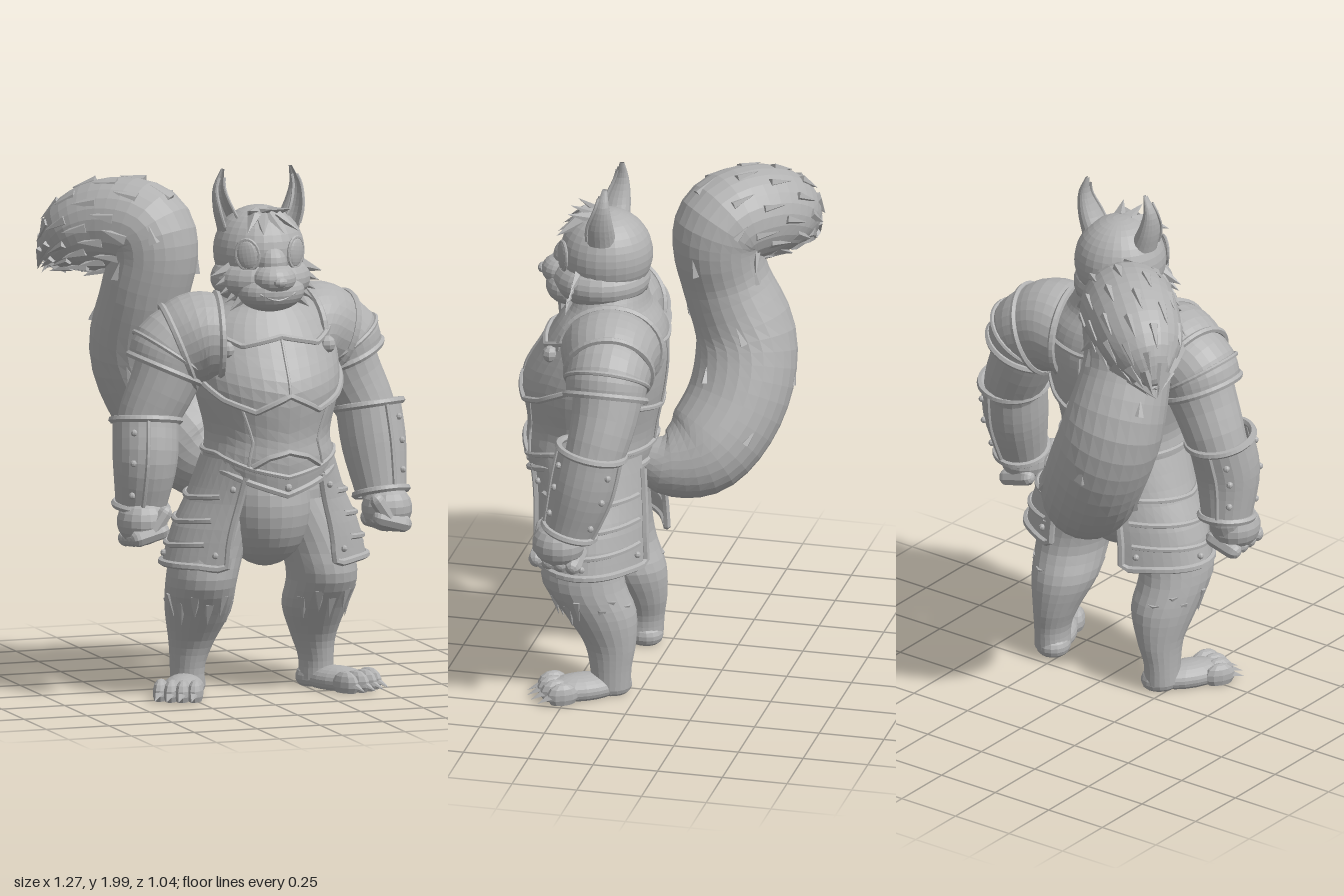
import * as THREE from 'three';
import { ParametricGeometry } from 'three/addons/geometries/ParametricGeometry.js';

const V = (x, y, z) => new THREE.Vector3(x, y, z);
const RAD = Math.PI / 180, CX = 0.045;
const grey = new THREE.MeshStandardMaterial({ color: 0xb2b2b2, side: THREE.DoubleSide });
grey.name = 'stone grey';

// faceted mesh added to a parent
function add(parent, name, geo) {
  const g = geo.index ? geo.toNonIndexed() : geo;
  g.computeVertexNormals();
  const m = new THREE.Mesh(g, grey);
  m.name = name;
  parent.add(m);
  return m;
}
function group(parent, name) {
  const g = new THREE.Group();
  g.name = name;
  parent.add(g);
  return g;
}

// skin over elliptical sections [x, y, z, a, b]; without ref the sections lie flat
function loft(secs, ref) {
  const P = new THREE.CatmullRomCurve3(secs.map(q => V(q[0], q[1], q[2])), false, 'catmullrom');
  const R = new THREE.CatmullRomCurve3(secs.map(q => V(q[3], q[4] ?? q[3], 0)), false, 'catmullrom');
  const L = {};
  L.point = (t, th, out = 0) => {
    const c = P.getPoint(t), r = R.getPoint(t);
    let N = V(0, 0, 1), B = V(1, 0, 0);
    if (ref) {
      const T = P.getTangent(t);
      N = ref.clone().addScaledVector(T, -ref.dot(T)).normalize();
      B = T.clone().cross(N);
    }
    return c.addScaledVector(N, Math.cos(th) * (Math.max(r.y, 0.001) + out))
      .addScaledVector(B, Math.sin(th) * (Math.max(r.x, 0.001) + out));
  };
  L.tAt = y => {
    let lo = 0, hi = 1;
    for (let i = 0; i < 24; i++) { const m = (lo + hi) / 2; if (P.getPoint(m).y < y) lo = m; else hi = m; }
    return lo;
  };
  L.at = (deg, y, out = 0) => L.point(L.tAt(y), deg * RAD, out);
  L.geo = (around = 24, along = 16, d0 = 0, d1 = 360) => new ParametricGeometry(
    (u, v, p) => p.copy(L.point(v, (d0 + (d1 - d0) * u) * RAD)), around, along);
  return L;
}
const tube = (parent, name, pts, r, closed = false) => add(parent, name, new THREE.TubeGeometry(
  new THREE.CatmullRomCurve3(pts, closed), pts.length * 2, r, 6, closed));
// raised edge following a surface through [degrees, y] points
function wire(parent, name, L, pts, r = 0.01) {
  const out = [];
  for (let i = 0; i < pts.length - 1; i++) for (let k = 0; k < 6; k++) {
    const f = k / 6, [a, b] = [pts[i], pts[i + 1]];
    out.push(L.at(a[0] + (b[0] - a[0]) * f, a[1] + (b[1] - a[1]) * f, 0.003));
  }
  out.push(L.at(...pts[pts.length - 1], 0.003));
  return tube(parent, name, out, r);
}
// ring-shaped edge around a loft
const hoop = (parent, name, L, t, r) => tube(parent, name,
  Array.from({ length: 20 }, (_, i) => L.point(t, i * 18 * RAD, 0.003)), r, true);
function ball(parent, name, p, r, seg = 18, floor = false) {
  const g = new THREE.SphereGeometry(1, seg, Math.round(seg * 0.7)).scale(...r).translate(...p);
  if (floor) for (let i = 0, a = g.attributes.position; i < a.count; i++) a.setY(i, Math.max(a.getY(i), 0.012));
  return add(parent, name, g);
}
const stud = (parent, p, r = 0.014) => ball(parent, 'stud', [p.x, p.y, p.z], [r, r, r], 8);
// flattened spike for fur and claws
function tuft(parent, name, p, dir, len, r) {
  const m = add(parent, name, new THREE.ConeGeometry(r, len, 5).translate(0, len * 0.4, 0).scale(1, 1, 0.6));
  m.position.copy(p);
  m.quaternion.setFromUnitVectors(V(0, 1, 0), dir.clone().normalize());
  return m;
}

function buildTorso(root) {
  const g = group(root, 'cuirass'), x = 0.06;
  const T = loft([[x, 0.79, 0.25, 0.215, 0.215], [x, 0.92, 0.245, 0.245, 0.24], [x, 1.02, 0.235, 0.235, 0.245],
    [x, 1.19, 0.227, 0.275, 0.27], [x, 1.33, 0.187, 0.28, 0.24], [x, 1.43, 0.167, 0.25, 0.198],
    [x, 1.5, 0.165, 0.185, 0.155], [x, 1.56, 0.165, 0.145, 0.14]]);
  // lower edge dips to a point at the front
  add(g, 'breastplate', new ParametricGeometry((u, v, p) => {
    const deg = -180 + 360 * u, t = T.tAt(0.8 + 0.08 * Math.min(1, Math.abs(deg) / 60));
    p.copy(T.point(t + (1 - t) * v, deg * RAD));
  }, 36, 24));
  wire(g, 'necklineTrim', T, [[-62, 1.41], [-32, 1.36], [0, 1.39], [32, 1.36], [62, 1.41]], 0.012);
  wire(g, 'chestTrim', T, [[-90, 1.25], [-55, 1.16], [-28, 1.12], [0, 1.18], [28, 1.12], [55, 1.16], [90, 1.25]], 0.012);
  wire(g, 'chestRidge', T, [[0, 1.18], [0, 1.38]], 0.006);
  wire(g, 'abdomenArch', T, [[-32, 0.91], [-18, 0.945], [0, 0.965], [18, 0.945], [32, 0.91]], 0.012);
  wire(g, 'beltUpperTrim', T, [[-180, 0.95], [-70, 0.95], [-32, 0.9], [0, 0.87], [32, 0.9], [70, 0.95], [180, 0.95]], 0.01);
  wire(g, 'beltLowerTrim', T, [[-180, 0.88], [-60, 0.88], [-30, 0.84], [0, 0.8], [30, 0.84], [60, 0.88], [180, 0.88]], 0.013);
  wire(g, 'backNeckTrim', T, [[110, 1.4], [150, 1.38], [180, 1.37], [210, 1.38], [250, 1.4]]);
  wire(g, 'backTrim', T, [[90, 1.25], [140, 1.14], [180, 1.1], [220, 1.14], [270, 1.25]]);
  wire(g, 'spineRidge', T, [[180, 0.95], [180, 1.37]], 0.006);
  for (const s of [-1, 1]) {
    wire(g, 'abdomenSeam', T, [[s * 40, 1.13], [s * 33, 1.0], [s * 36, 0.91]], 0.006);
    stud(g, T.at(s * 46, 1.345), 0.033);
  }
  stud(g, T.at(0, 0.83, 0.005), 0.015);
  ball(root, 'belly', [0.05, 0.73, 0.23], [0.175, 0.23, 0.205], 24);
  ball(root, 'hips', [0.055, 0.77, 0.19], [0.23, 0.19, 0.17], 24);

  // side skirts of banded plates
  const sk = group(root, 'skirt');
  const S = loft([[x, 0.515, 0.2, 0.4, 0.23], [x, 0.65, 0.205, 0.365, 0.23], [x, 0.78, 0.215, 0.305, 0.23], [x, 0.93, 0.235, 0.25, 0.238]]);
  for (const s of [-1, 1]) {
    const d = a => s * a;
    add(sk, 'skirtPlate', S.geo(18, 8, s > 0 ? 33 : -155, s > 0 ? 155 : -33));
    wire(sk, 'skirtEdge', S, [[d(33), 0.87], [d(33), 0.525], [d(155), 0.525], [d(155), 0.88]], 0.014);
    for (const y of [0.79, 0.7, 0.61]) wire(sk, 'skirtBand', S, [[d(50), y], [d(85), y - 0.015], [d(148), y]], 0.011);
    for (const [a, y] of [[41, 0.57], [41, 0.82], [95, 0.56], [146, 0.57]]) stud(sk, S.at(d(a), y, 0.004), 0.013);
  }
}

function buildHead(root) {
  const g = group(root, 'head');
  ball(g, 'skull', [CX, 1.69, 0.185], [0.172, 0.172, 0.175], 28);
  ball(g, 'jaw', [CX, 1.59, 0.205], [0.19, 0.108, 0.185], 24);
  ball(g, 'muzzle', [CX, 1.555, 0.32], [0.13, 0.077, 0.095], 22);
  ball(g, 'snout', [CX, 1.605, 0.35], [0.085, 0.06, 0.085], 18);
  ball(g, 'noseBridge', [CX, 1.66, 0.325], [0.06, 0.07, 0.065], 16);
  ball(g, 'nose', [CX, 1.603, 0.432], [0.028, 0.019, 0.018], 10);
  tube(g, 'mouth', [V(CX - 0.07, 1.555, 0.397), V(CX, 1.53, 0.41), V(CX + 0.07, 1.555, 0.397)], 0.005);
  for (const s of [-1, 1]) {
    const eye = ball(g, 'eye', [0, 0, 0], [0.042, 0.056, 0.014], 16);
    const rim = add(g, 'eyeRim', new THREE.TorusGeometry(0.044, 0.006, 6, 20).scale(1, 1.3, 1));
    for (const m of [eye, rim]) { m.position.set(CX + s * 0.096, 1.698, 0.33); m.rotation.set(0, s * 0.57, s * -0.15); }
    // scooped ears, open at the front
    const E = loft([[CX + s * 0.105, 1.77, 0.18, 0.055, 0.058], [CX + s * 0.138, 1.85, 0.178, 0.038, 0.052],
      [CX + s * 0.152, 1.93, 0.165, 0.022, 0.028], [CX + s * 0.135, 2.0, 0.16, 0.006, 0.01]]);
    add(g, 'ear', E.geo(14, 10, 40, 320));
    for (const a of [40, 320]) wire(g, 'earRim', E, [[a, 1.79], [a, 1.86], [a, 1.97]], 0.006);
    for (let i = 0; i < 5; i++) tuft(g, 'cheekFur', V(CX + s * (0.15 - i * 0.012), 1.635 - i * 0.025, 0.26 + i * 0.01),
      V(s, -0.3 - i * 0.15, 0.1), 0.085, 0.03);
  }
  for (let i = 0; i < 7; i++) {
    const a = (i - 3) * 0.3;
    tuft(g, 'hair', V(CX + Math.sin(a) * 0.07, 1.825 + (i % 2) * 0.015, 0.28 - (i % 2) * 0.05),
      V(Math.sin(a) * 0.7, i % 2 ? 0.2 : -0.5, 0.8), 0.11, 0.032);
  }
}

function buildArm(root, s) {
  const g = group(root, s > 0 ? 'leftArm' : 'rightArm'), X = d => CX + s * d, ref = V(0, 0, 1);
  const zs = s > 0 ? 0.095 : 0.195;            // the left shoulder is drawn back
  const ze = s > 0 ? 0.1 : 0.17, zw = 0.21;
  add(g, 'arm', loft([[X(0.18), 1.39, zs + 0.02, 0.12], [X(0.31), 1.34, zs, 0.14], [X(0.39), 1.19, zs, 0.125],
    [X(0.45), 1.05, ze + 0.02, 0.112], [X(0.47), 0.9, ze + 0.06, 0.1], [X(0.48), 0.74, zw, 0.075], [X(0.485), 0.68, zw + 0.02, 0.06]], ref).geo(20, 20));
  // shoulder armour: dome and hanging bands
  const p = group(g, 'pauldron');
  const dome = loft([[X(0.18), 1.37, zs + 0.03, 0.165, 0.19], [X(0.25), 1.37, zs + 0.015, 0.178, 0.178], [X(0.325), 1.34, zs, 0.165, 0.158]], ref);
  const band = loft([[X(0.305), 1.345, zs, 0.163, 0.158], [X(0.353), 1.318, zs, 0.158, 0.155], [X(0.378), 1.262, zs, 0.14, 0.148]], ref);
  add(p, 'shoulderDome', dome.geo(28, 8));
  add(p, 'shoulderBand', band.geo(28, 8));
  hoop(p, 'collarRim', dome, 0, 0.014);
  hoop(p, 'domeRim', dome, 1, 0.013);
  hoop(p, 'bandRim', band, 0.55, 0.009);
  hoop(p, 'shoulderRim', band, 1, 0.014);
  // forearm guard
  const b = group(g, 'bracer');
  const B = loft([[X(0.455), 1.07, ze + 0.03, 0.124], [X(0.468), 0.92, ze + 0.06, 0.122], [X(0.478), 0.75, zw, 0.096]], ref);
  add(b, 'bracerPlate', B.geo(22, 8));
  hoop(b, 'bracerUpperRim', B, 0, 0.014);
  hoop(b, 'bracerLowerRim', B, 1, 0.014);
  for (const t of [0.2, 0.5, 0.82]) for (const a of [40, 140]) stud(b, B.point(t, -s * a * RAD, 0.002), 0.013);
  for (const a of [15, 165]) tube(b, 'bracerSeam', [0, 0.25, 0.5, 0.75, 1].map(t => B.point(t, -s * a * RAD, 0.002)), 0.009);
  // clenched hand
  const h = group(g, 'fist');
  ball(h, 'palm', [X(0.487), 0.695, 0.25], [0.095, 0.09, 0.1], 16);
  for (let i = 0; i < 4; i++) {
    const f = add(h, 'finger', new THREE.CapsuleGeometry(0.033, 0.09, 4, 8));
    f.rotation.z = s * 1.3;
    f.position.set(X(0.482), 0.637 + i * 0.006, 0.185 + i * 0.046);
  }
  const th = add(h, 'thumb', new THREE.CapsuleGeometry(0.028, 0.08, 4, 8));
  th.rotation.z = s * 0.6;
  th.position.set(X(0.445), 0.7, 0.325);
}

function buildLeg(root, s) {
  const g = group(root, s > 0 ? 'leftLeg' : 'rightLeg'), X = d => CX + s * d;
  const L = loft([[X(0.255), 0.04, 0.105, 0.065, 0.075], [X(0.255), 0.12, 0.105, 0.065, 0.08], [X(0.242), 0.21, 0.112, 0.085, 0.1],
    [X(0.232), 0.33, 0.155, 0.122, 0.14], [X(0.24), 0.45, 0.215, 0.13, 0.158], [X(0.21), 0.58, 0.215, 0.135, 0.148], [X(0.13), 0.76, 0.2, 0.12, 0.145]]);
  add(g, 'leg', L.geo(22, 20));
  for (let i = 0; i < 9; i++) {
    const a = s * (-50 + i * 27), y = 0.37 + (i % 2) * 0.03;
    tuft(g, 'legFur', L.at(a, y, -0.012), V(-Math.sin(a * RAD) * 0.12, -1, -Math.cos(a * RAD) * 0.3), 0.09, 0.026);
  }
  const f = group(g, 'foot');
  f.position.set(X(0.25), 0, 0.1);
  f.rotation.y = s * 0.52;
  ball(f, 'heel', [0, 0.045, 0], [0.066, 0.055, 0.075], 16, true);
  ball(f, 'instep', [0, 0.042, 0.12], [0.078, 0.055, 0.15], 18, true);
  for (let i = 0; i < 4; i++) {
    const x = -0.066 + i * 0.044, z = 0.235 - Math.abs(i - 1.5) * 0.014;
    ball(f, 'toe', [x, 0.044, z], [0.03, 0.05, 0.06], 10, true);
    tuft(f, 'claw', V(x, 0.045, z + 0.045), V(x, -0.4, 1), 0.065, 0.02);
  }
}

function buildTail(root) {
  const g = group(root, 'tail');
  const T = loft([[0.02, 0.86, 0.06, 0.07], [0, 0.835, -0.05, 0.13], [-0.07, 0.885, -0.17, 0.178], [-0.18, 1.05, -0.265, 0.19],
    [-0.265, 1.26, -0.278, 0.19], [-0.272, 1.48, -0.2, 0.168], [-0.25, 1.64, -0.17, 0.17], [-0.275, 1.725, -0.2, 0.18],
    [-0.38, 1.735, -0.3, 0.175], [-0.485, 1.685, -0.38, 0.148], [-0.555, 1.61, -0.43, 0.07], [-0.575, 1.575, -0.44, 0.005]], V(1, 0, -1).normalize());
  add(g, 'tailBody', T.geo(26, 46));
  // fur locks spiral along the tail, thickest over the curl
  for (let i = 0; i < 70; i++) {
    const t = i < 14 ? 0.22 + i * 0.03 : 0.62 + (i - 14) * 0.0056, a = i * 2.4;
    // each lock follows the skin beneath it
    const p = T.point(t, a, -0.01), dir = T.point(t + 0.02, a, -0.004).sub(p);
    tuft(g, 'tailFur', p, dir, i < 14 ? 0.07 : 0.1, 0.03);
  }
}

export function createModel() {
  const root = new THREE.Group();
  root.name = 'armouredSquirrel';
  buildTorso(root);
  buildHead(root);
  for (const s of [-1, 1]) { buildArm(root, s); buildLeg(root, s); }
  buildTail(root);
  return root;
}
